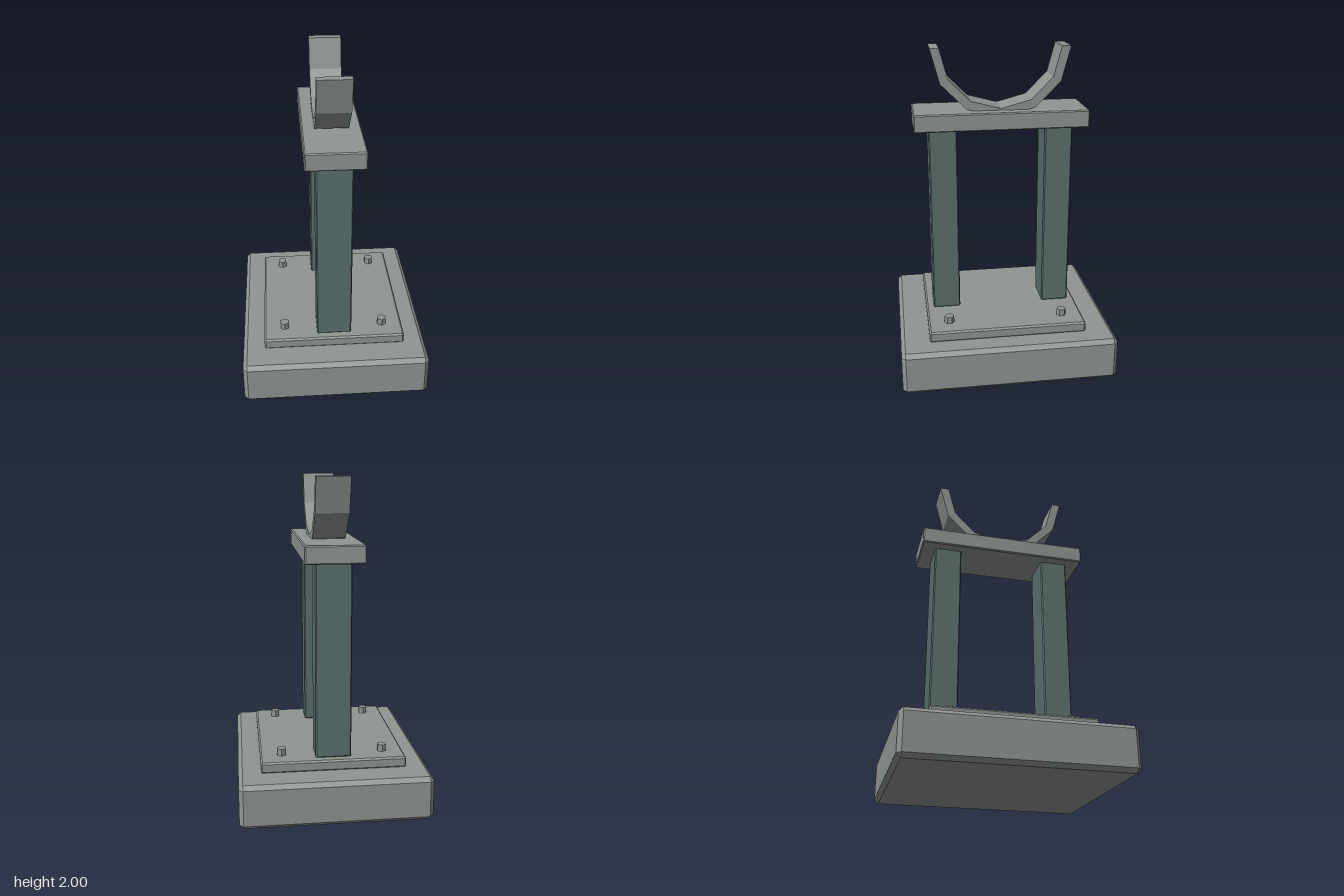
import * as THREE from 'three';
import { ConvexGeometry } from 'three/addons/geometries/ConvexGeometry.js';

// Box with chamfered edges, standing on y = 0
function chamferBox(w, h, d, c) {
  const points = [];
  for (const sx of [-1, 1]) for (const sy of [-1, 1]) for (const sz of [-1, 1]) {
    for (let axis = 0; axis < 3; axis++) {
      const inset = [c, c, c];
      inset[axis] = 0;
      points.push(new THREE.Vector3(
        sx * (w / 2 - inset[0]),
        h / 2 + sy * (h / 2 - inset[1]),
        sz * (d / 2 - inset[2])));
    }
  }
  return new ConvexGeometry(points);
}

export function createModel() {
  const group = new THREE.Group();
  const grey = new THREE.MeshStandardMaterial({ name: 'stone grey', color: 0x8f9692, flatShading: true });
  const teal = new THREE.MeshStandardMaterial({ name: 'dark teal', color: 0x5a716d, flatShading: true });

  function add(name, geometry, material, x, y, z) {
    const mesh = new THREE.Mesh(geometry, material);
    mesh.name = name;
    mesh.position.set(x, y, z);
    group.add(mesh);
    return mesh;
  }

  // Plinth and mounting plate
  add('base', chamferBox(1.15, 0.27, 1.33, 0.025), grey, 0, 0, 0);
  add('mountingPlate', chamferBox(0.88, 0.067, 0.975, 0.01), grey, 0, 0.268, 0);

  // Hexagonal bolts at the plate corners
  const boltGeometry = new THREE.CylinderGeometry(0.03, 0.03, 0.05, 6);
  for (const sx of [-1, 1]) for (const sz of [-1, 1]) {
    add('bolt', boltGeometry, grey, sx * 0.31, 0.352, sz * 0.357);
  }

  // Two posts carrying the cross beam
  const postGeometry = chamferBox(0.216, 1.19, 0.172, 0.007);
  add('frontPost', postGeometry, teal, 0, 0.335, 0.355);
  add('backPost', postGeometry, teal, 0, 0.335, -0.355);
  add('crossBeam', chamferBox(0.35, 0.107, 1.06, 0.007), grey, 0, 1.518, 0);

  // Half-ring cradle of six straight segments
  const shape = new THREE.Shape();
  const arc = (r, i) => {
    const a = Math.PI + i * Math.PI / 6;
    return [r * Math.cos(a), r * Math.sin(a)];
  };
  shape.moveTo(...arc(0.42, 0));
  for (let i = 1; i <= 6; i++) shape.lineTo(...arc(0.42, i));
  for (let i = 6; i >= 0; i--) shape.lineTo(...arc(0.365, i));
  shape.closePath();
  const cradleGeometry = new THREE.ExtrudeGeometry(shape, { depth: 0.2, bevelEnabled: false });
  cradleGeometry.translate(0, 0, -0.1);
  add('cradle', cradleGeometry, grey, 0, 2, 0).rotation.y = Math.PI / 2;

  return group;
}
